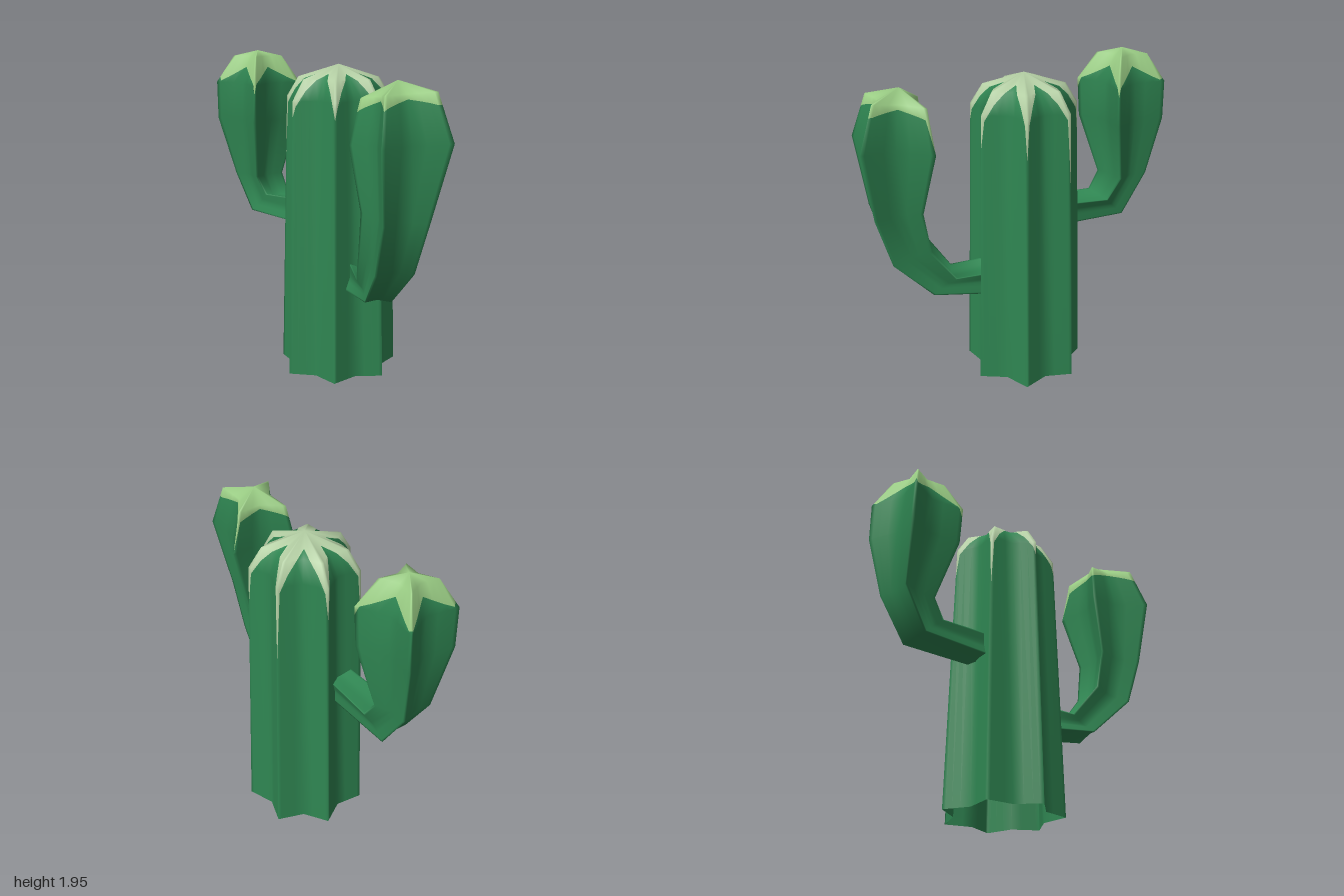
import * as THREE from 'three';
import { mergeVertices } from 'three/addons/utils/BufferGeometryUtils.js';

const mat = (name, color) => new THREE.MeshStandardMaterial({ name, color, side: THREE.DoubleSide });

// Column positions between a ridge (0) and the next valley (1)
const STEPS = [0, 0.12, 0.35, 0.65, 1];

// Lofts star-shaped rings into a ribbed stem with a pale painted tip.
// Ring: [x, y, z, radius, tilt in degrees, valley ratio].
// ridgePaint gives the ring number where paint starts on each ridge;
// flankPaint gives the same for the other column positions.
function ribbedStem(name, rings, startAngle, ridgePaint, flankPaint, materials, side = 1) {
  const points = ridgePaint.length;
  const half = Math.PI / points;
  const last = rings.length - 1;

  // Point on one ring; f runs from ridge (0) to valley (1)
  const onRing = ([x, y, z, r, tilt, ratio], k, f, dir) => {
    const ridge = startAngle + k * 2 * half;
    const valley = ridge + dir * half;
    const u = r * ((1 - f) * Math.cos(ridge) + f * ratio * Math.cos(valley));
    const v = r * ((1 - f) * Math.sin(ridge) + f * ratio * Math.sin(valley));
    const b = THREE.MathUtils.degToRad(tilt);
    return new THREE.Vector3(x + u, y - v * Math.sin(b), side * (z + v * Math.cos(b)));
  };

  // Columns run valley - ridge - valley around the star
  const columns = [];
  for (let k = 0; k < points; k++) {
    for (let j = -3; j <= 4; j++) {
      const i = Math.abs(j);
      const paint = i === 0 ? ridgePaint[k] : flankPaint[i - 1];
      const at = (s) => {
        const n = Math.min(Math.floor(s), last - 1);
        const dir = j < 0 ? -1 : 1;
        return onRing(rings[n], k, STEPS[i], dir).lerp(onRing(rings[n + 1], k, STEPS[i], dir), s - n);
      };
      columns.push({ paint, at });
    }
  }

  const positions = [];
  const index = [];
  const geometry = new THREE.BufferGeometry();
  const count = columns.length;
  // Plain part stops at the paint line, painted part starts from it
  [Math.min, Math.max].forEach((clip, group) => {
    const base = positions.length / 3;
    const start = index.length;
    for (let row = 0; row <= last; row++) {
      for (const c of columns) positions.push(...c.at(clip(row, c.paint)).toArray());
    }
    for (let row = 0; row < last; row++) {
      for (let c = 0; c < count; c++) {
        const a0 = base + row * count + c;
        const b0 = base + row * count + (c + 1) % count;
        const a1 = a0 + count, b1 = b0 + count;
        if (side > 0) index.push(a0, a1, b1, a0, b1, b0);
        else index.push(a0, b1, a1, a0, b0, b1);
      }
    }
    geometry.addGroup(start, index.length - start, group);
  });
  geometry.setAttribute('position', new THREE.Float32BufferAttribute(positions, 3));
  geometry.setIndex(index);
  const smooth = mergeVertices(geometry, 1e-5);
  smooth.computeVertexNormals();
  const mesh = new THREE.Mesh(smooth, materials);
  mesh.name = name;
  return mesh;
}

export function createModel() {
  const green = mat('cactusGreen', 0x2f8652);
  const lightGreen = mat('tipLightGreen', 0x9ccf86);
  const paleGreen = mat('crownPaleGreen', 0xb4cfa4);
  const model = new THREE.Group();
  model.name = 'cactus';

  // Seven-ribbed trunk, open at the base
  const trunkRings = [
    [0.03, 0, -0.03, 0.37, 0, 0.75],
    [0.03, 1.7, -0.025, 0.325, 0, 0.75],
    [0.03, 1.82, -0.025, 0.25, 0, 0.72],
    [0.03, 1.9, -0.02, 0, 0, 0.7],
  ];
  const ridgeHeights = [1.6, 1.35, 1.5, 1.22, 1.46, 1.5, 1.6];
  model.add(ribbedStem('trunk', trunkRings, Math.PI, ridgeHeights.map((h) => h / 1.7),
    [0.98, 1.45, 1.95, 2.35], [green, paleGreen]));

  // Front arm: short elbow, then a swelling four-ribbed club
  const frontRings = [
    [0, 0.635, 0.22, 0.115, 90, 0.55],
    [-0.08, 0.635, 0.485, 0.122, 35, 0.55],
    [-0.14, 0.85, 0.67, 0.17, 16, 0.52],
    [-0.14, 1.13, 0.742, 0.2, 4, 0.5],
    [-0.115, 1.53, 0.747, 0.297, -5, 0.47],
    [-0.11, 1.79, 0.72, 0.217, -8, 0.47],
    [-0.1, 1.867, 0.7, 0, 0, 0.47],
  ];
  model.add(ribbedStem('frontArm', frontRings, THREE.MathUtils.degToRad(58),
    [4.75, 4.7, 4.7, 4.05], [4.75, 4.8, 4.85, 4.9], [green, lightGreen]));

  // Back arm: higher and with a longer level elbow
  const backRings = [
    [-0.05, 0.965, 0.22, 0.107, 90, 0.6],
    [-0.06, 0.945, 0.68, 0.136, 43, 0.6],
    [-0.07, 1.125, 0.805, 0.155, 0, 0.55],
    [-0.08, 1.5, 0.785, 0.265, 0, 0.5],
    [-0.08, 1.74, 0.775, 0.272, 0, 0.48],
    [-0.08, 1.91, 0.775, 0.155, 0, 0.48],
    [-0.08, 1.945, 0.775, 0, 0, 0.48],
  ];
  model.add(ribbedStem('backArm', backRings, THREE.MathUtils.degToRad(54),
    [4.1, 4.2, 3.75, 3.8], [4.05, 4.2, 4.4, 4.6], [green, lightGreen], -1));

  return model;
}
